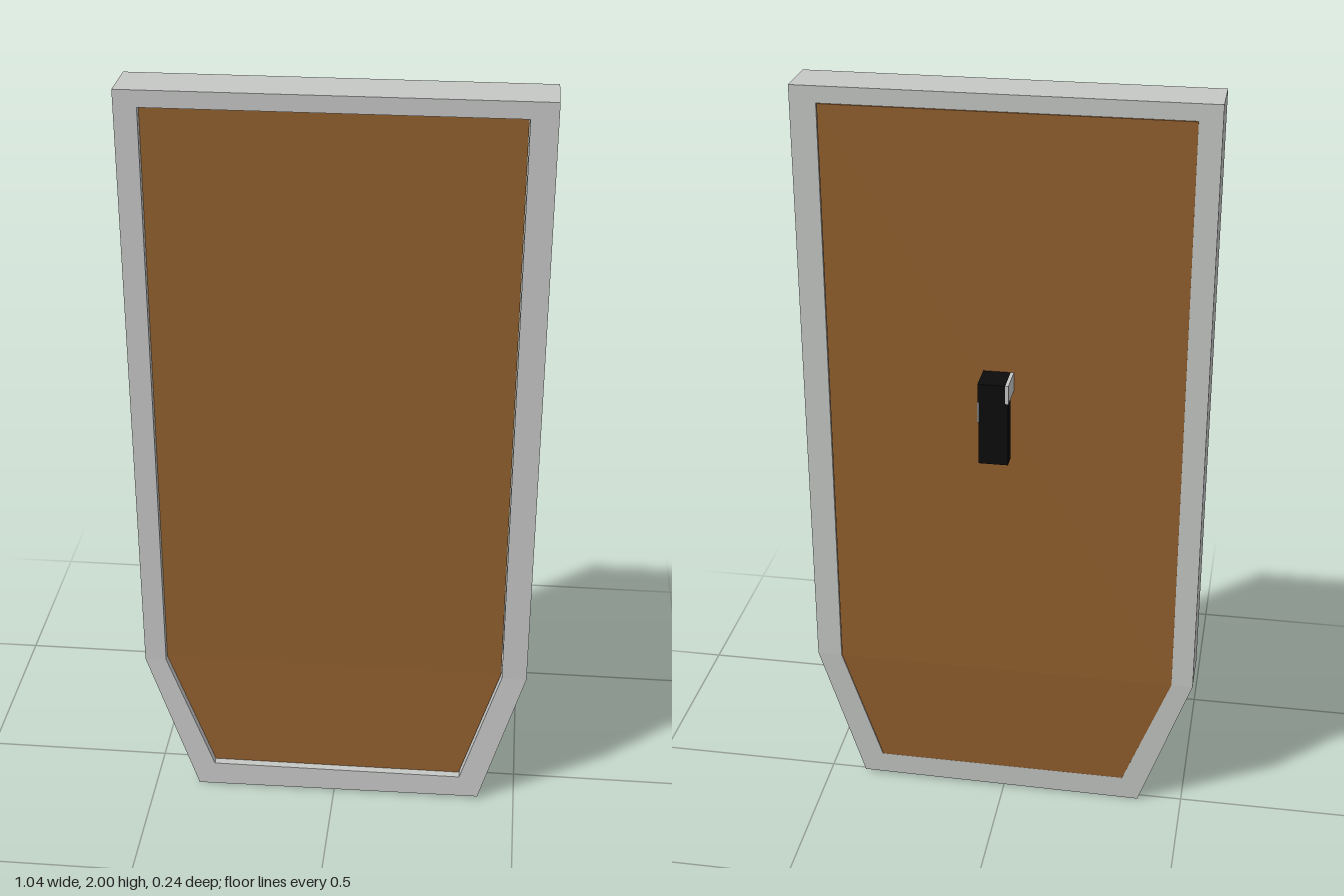
import * as THREE from 'three';

const steel = new THREE.MeshStandardMaterial({ color: 0xc6c8c6 });
steel.name = 'pale grey';
const wood = new THREE.MeshStandardMaterial({ color: 0x92602e });
wood.name = 'brown';
const black = new THREE.MeshStandardMaterial({ color: 0x0c0c0c });
black.name = 'black';

const BEND_Y = 0.4;

function points(list) {
  return list.map(([x, y]) => new THREE.Vector2(x, y));
}

// Extrudes between two depths, then tilts everything under the bend forward
function bentSlab(shapes, zBack, zFront) {
  const geo = new THREE.ExtrudeGeometry(shapes, { depth: zFront - zBack, bevelEnabled: false });
  geo.translate(0, 0, zBack);
  const p = geo.attributes.position;
  for (let i = 0; i < p.count; i++) {
    const drop = Math.max(0, BEND_Y - p.getY(i));
    p.setZ(i, p.getZ(i) + drop * 0.042);
  }
  geo.computeVertexNormals();
  return geo;
}

export function createModel() {
  const group = new THREE.Group();
  group.name = 'shield';

  function add(name, geometry, material, x = 0, y = 0, z = 0) {
    const mesh = new THREE.Mesh(geometry, material);
    mesh.name = name;
    mesh.position.set(x, y, z);
    group.add(mesh);
  }

  // Rim with an opening for the panel
  const rim = new THREE.Shape(points([
    [-0.518, 2], [-0.518, BEND_Y], [-0.38, 0], [0.4, 0.008], [0.518, BEND_Y], [0.518, 2],
  ]));
  rim.holes.push(new THREE.Path(points([
    [-0.461, 1.958], [0.452, 1.958], [0.452, BEND_Y], [0.348, 0.07], [-0.335, 0.068], [-0.461, BEND_Y],
  ])));
  add('rim', bentSlab(rim, -0.035, 0.102), steel);

  // Panel in two pieces meeting at the bend, recessed at the front and flush at the back
  const upper = new THREE.Shape(points([
    [-0.461, BEND_Y], [0.45, BEND_Y], [0.45, 1.957], [-0.461, 1.957],
  ]));
  const lower = new THREE.Shape(points([
    [-0.335, 0.069], [0.346, 0.071], [0.45, BEND_Y], [-0.461, BEND_Y],
  ]));
  add('panel', bentSlab([upper, lower], -0.036, 0.082), wood);

  // Handle: an arm out of the back with a grip hanging from it
  add('handleArm', new THREE.BoxGeometry(0.07, 0.05, 0.087), black, 0.014, 1.265, -0.0765);
  add('handleGrip', new THREE.BoxGeometry(0.075, 0.17, 0.042), black, 0.0095, 1.156, -0.099);

  // Bare metal faces on the handle
  add('armEndPlate', new THREE.BoxGeometry(0.008, 0.05, 0.087), steel, -0.025, 1.265, -0.0765);
  add('gripSidePlate', new THREE.BoxGeometry(0.003, 0.055, 0.042), steel, 0.0485, 1.2125, -0.099);

  return group;
}
